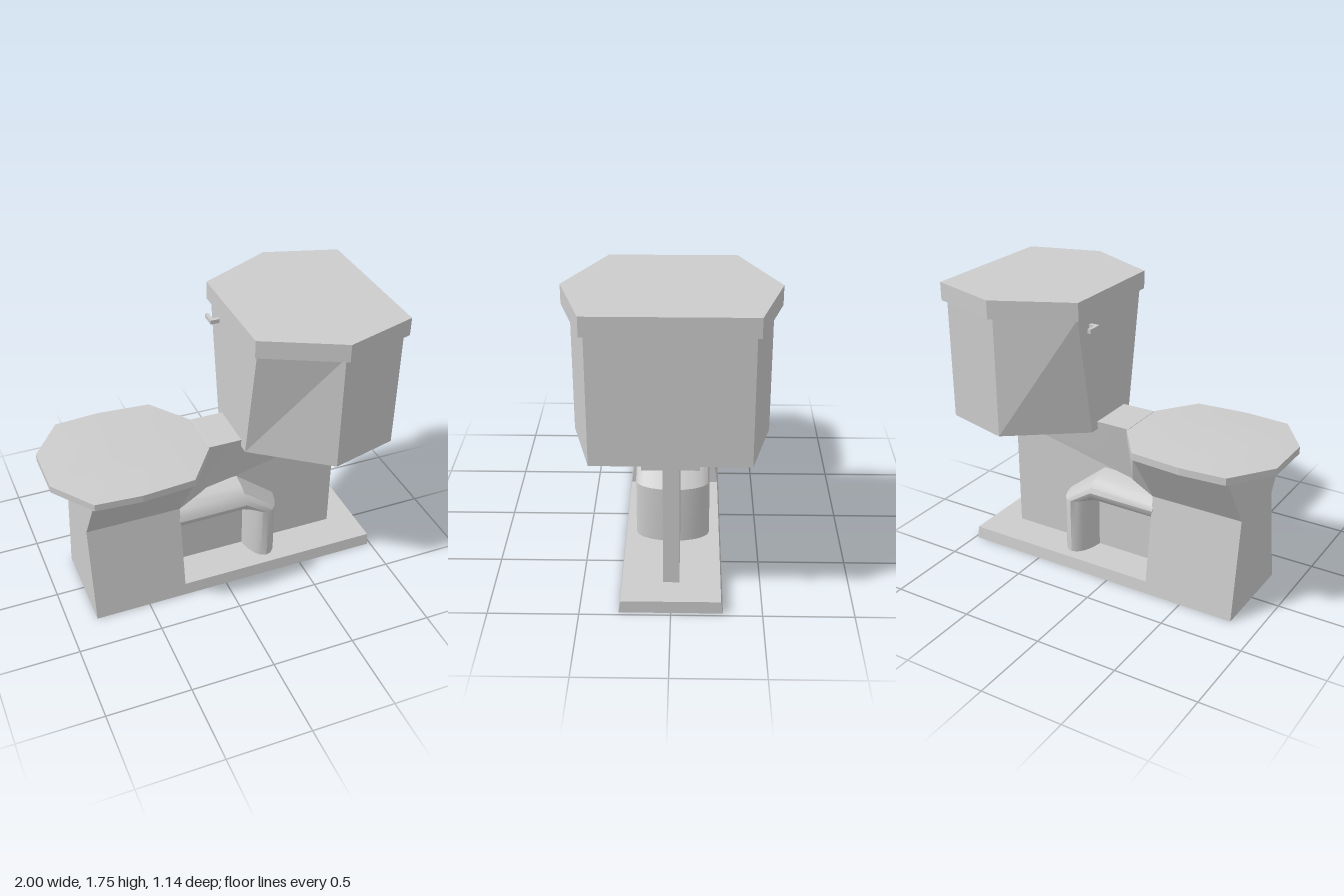
import * as THREE from 'three';
import { toCreasedNormals } from 'three/addons/utils/BufferGeometryUtils.js';

// Skin a stack of equal-length cross-sections and close both ends
function loft(rings, crease = 0.1) {
  const n = rings[0].length, tris = [];
  for (let r = 0; r < rings.length - 1; r++) {
    for (let i = 0; i < n; i++) {
      const j = (i + 1) % n;
      const [a, b, c, d] = [rings[r][i], rings[r][j], rings[r + 1][j], rings[r + 1][i]];
      tris.push([a, b, c], [a, c, d]);
    }
  }
  const first = rings[0], last = rings[rings.length - 1];
  for (let i = 1; i < n - 1; i++) {
    tris.push([first[0], first[i + 1], first[i]], [last[0], last[i], last[i + 1]]);
  }
  // A negative enclosed volume means the corners run the wrong way round
  let volume = 0;
  const v = (p) => new THREE.Vector3(...p);
  for (const [a, b, c] of tris) volume += v(a).dot(v(b).cross(v(c)));
  if (volume < 0) tris.forEach((t) => t.reverse());
  const geo = new THREE.BufferGeometry();
  geo.setAttribute('position', new THREE.Float32BufferAttribute(tris.flat(2), 3));
  geo.computeVertexNormals();
  return toCreasedNormals(geo, crease);
}

// Horizontal outline at height y, mirrored in z from [x, z] points
function outline(y, half) {
  const side = half.map(([x, z]) => [x, y, z]);
  const other = half.map(([x, z]) => [x, y, -z]).reverse();
  return [...side, ...other];
}

// Upright four-sided section across the model at x
const section = (x, y0, z0, y1, z1) => [[x, y0, -z0], [x, y0, z0], [x, y1, z1], [x, y1, -z1]];

export function createModel() {
  const group = new THREE.Group();
  const material = new THREE.MeshStandardMaterial({ color: 0xcccccc });
  const add = (name, geo) => {
    const mesh = new THREE.Mesh(geo, material);
    mesh.name = name;
    group.add(mesh);
    return mesh;
  };
  const box = (name, x0, x1, y0, y1, z0, z1) => {
    const mesh = add(name, new THREE.BoxGeometry(x1 - x0, y1 - y0, z1 - z0));
    mesh.position.set((x0 + x1) / 2, (y0 + y1) / 2, (z0 + z1) / 2);
  };

  // Foot plate and tapered pedestal
  const strip = (y, x0, x1, z) => outline(y, [[x0, z], [x1, z]]);
  add('footPlate', loft([strip(0, -0.83, 0.98, 0.285), strip(0.075, -0.83, 0.98, 0.274)]));
  add('pedestal', loft([strip(0, -0.83, -0.265, 0.285), strip(0.61, -0.83, -0.265, 0.197)]));

  // Thin upright web beneath the deck
  const webShape = new THREE.Shape([
    [-0.27, 0.07], [0.805, 0.07], [0.805, 0.855], [-0.04, 0.63], [-0.27, 0.62],
  ].map((p) => new THREE.Vector2(...p)));
  const web = new THREE.ExtrudeGeometry(webShape, { depth: 0.09, bevelEnabled: false });
  add('supportWeb', web.translate(0, 0, -0.045));

  // Oval drain pipe: level run, bend, then down to the plate
  const pipeRing = (x, y, dx, dy) => Array.from({ length: 20 }, (_, i) => {
    const a = (i / 20) * Math.PI * 2;
    return [x + dx * Math.cos(a), y + dy * Math.cos(a), 0.215 * Math.sin(a)];
  });
  add('drainPipe', loft([
    pipeRing(-0.27, 0.518, 0, 0.104),
    pipeRing(0.157, 0.52, 0, 0.104),
    pipeRing(0.3, 0.425, 0.102, 0),
    pipeRing(0.3, 0.07, 0.102, 0),
  ], 0.6));

  // Flared bowl
  add('bowl', loft([
    outline(0.61, [[-0.83, 0.197], [-0.265, 0.197], [-0.06, 0.08]]),
    outline(0.925, [[-0.83, 0.39], [-0.245, 0.39], [-0.06, 0.15]]),
  ]));

  // Seat lid with a slightly raised middle
  const lid = (y, s) => outline(y, [
    [-1, 0.155], [-0.82, 0.4], [-0.55, 0.42], [-0.24, 0.395], [-0.06, 0.15],
  ].map(([x, z]) => [-0.53 + (x + 0.53) * s, z * s]));
  add('seatLid', loft([lid(0.922, 1), lid(0.965, 1), lid(0.976, 0.6)]));

  // Deck joining bowl and tank, rising towards the back
  add('deck', loft([
    section(-0.07, 0.615, 0.08, 0.968, 0.15),
    section(0.16, 0.675, 0.096, 0.968, 0.15),
    section(0.97, 0.895, 0.15, 0.922, 0.15),
  ]));

  // Six-sided tank, its front face narrowing downward
  const tank = (y, front) => outline(y, [[0.14, front], [0.57, 0.525], [0.975, 0.42]]);
  add('tank', loft([tank(0.92, 0.205), tank(1.645, 0.33)]));
  const cover = (y) => outline(y, [[0.12, 0.35], [0.57, 0.57], [1, 0.44]]);
  add('tankCover', loft([cover(1.643), cover(1.75)]));

  // Flush handle
  box('handleStem', 0.1, 0.15, 1.56, 1.585, -0.22, -0.195);
  box('handleLever', 0.085, 0.106, 1.56, 1.585, -0.285, -0.195);

  return group;
}
